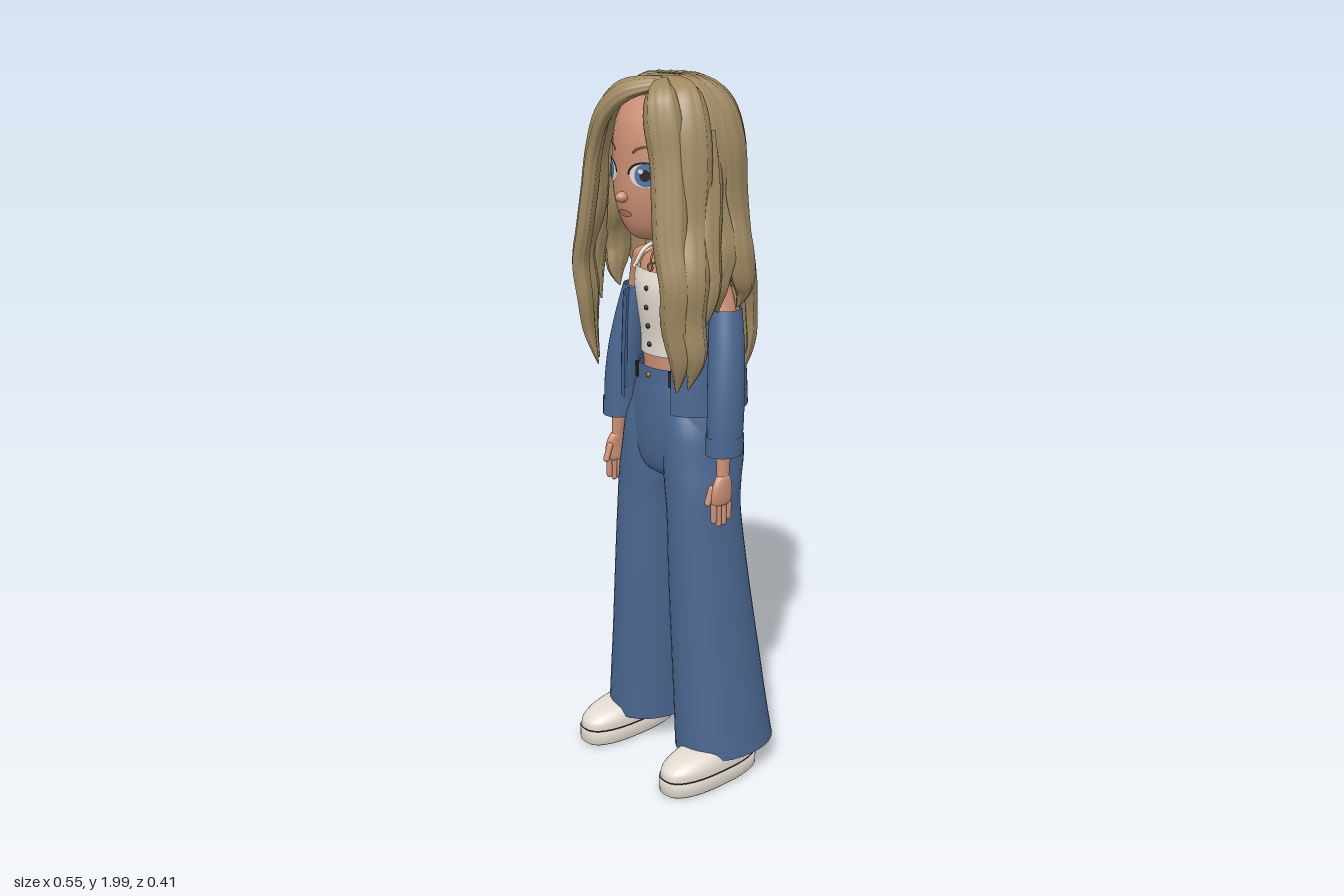
import * as THREE from 'three';

const mat = (name, color, side = THREE.FrontSide) => {
  const m = new THREE.MeshStandardMaterial({ color, side });
  m.name = name;
  return m;
};

// Smooth interpolation through rows of numbers, t from 0 to 1
function sample(rows, t) {
  const f = t * (rows.length - 1), i = Math.min(Math.floor(f), rows.length - 2), u = f - i;
  const at = k => rows[Math.max(0, Math.min(rows.length - 1, i + k))];
  return rows[0].map((_, n) => {
    const a = at(-1)[n], b = at(0)[n], c = at(1)[n], d = at(2)[n];
    return 0.5 * (2 * b + (c - a) * u + (2 * a - 5 * b + 4 * c - d) * u * u + (3 * b - a - 3 * c + d) * u ** 3);
  });
}

// Skin a list of point rings
function skin(rings, closed = true) {
  const n = rings[0].length, idx = [];
  for (let i = 0; i < rings.length - 1; i++)
    for (let j = 0; j < (closed ? n : n - 1); j++) {
      const k = (j + 1) % n, a = i * n + j, b = i * n + k, c = a + n, d = b + n;
      idx.push(a, b, d, a, d, c);
    }
  const g = new THREE.BufferGeometry();
  g.setAttribute('position', new THREE.Float32BufferAttribute(rings.flat(2), 3));
  g.setIndex(idx);
  g.computeVertexNormals();
  return g;
}

// Stack of rounded sections [y, cx, cz, rx, rz], bottom to top; e squares the outline, gap opens the front
function loft(sections, { n = 32, e = 2, gap = 0, steps = 6 } = {}) {
  const pw = v => Math.sign(v) * Math.abs(v) ** (2 / e), rings = [], rows = (sections.length - 1) * steps;
  for (let i = 0; i <= rows; i++) {
    const [y, cx, cz, rx, rz] = sample(sections, i / rows);
    rings.push(Array.from({ length: n }, (_, j) => {
      const a = gap ? gap + (j / (n - 1)) * (2 * Math.PI - 2 * gap) : (j / n) * 2 * Math.PI;
      return [cx + rx * pw(Math.sin(a)), y, cz + rz * pw(Math.cos(a))];
    }));
  }
  return skin(rings, !gap);
}

// Flattened, grooved lock of hair along [x, y, z, halfWidth]
function lock(path, thick = 0.022) {
  const rings = [], rows = 40, n = 24;
  for (let i = 0; i <= rows; i++) {
    const t = i / rows, [x, y, z, w] = sample(path, t);
    const p = new THREE.Vector3(x, y, z);
    const T = new THREE.Vector3(...sample(path, Math.min(1, t + 0.01))).sub(new THREE.Vector3(...sample(path, Math.max(0, t - 0.01)))).normalize();
    const N = p.clone().sub(new THREE.Vector3(0, Math.min(y, 1.8), 0));
    N.addScaledVector(T, -N.dot(T)).normalize();
    const B = N.clone().cross(T), h = Math.min(thick, w * 0.6);
    rings.push(Array.from({ length: n }, (_, j) => {
      const a = (j / n) * 2 * Math.PI, r = 1 + 0.09 * Math.cos(8 * a);
      return p.clone().addScaledVector(B, w * r * Math.cos(a)).addScaledVector(N, h * r * Math.sin(a)).toArray();
    }));
  }
  return skin(rings);
}

export function createModel() {
  const model = new THREE.Group();
  const DS = THREE.DoubleSide;
  const hair = mat('dark blonde hair', 0xa08a63, DS), skinM = mat('skin', 0xcd9176);
  const denim = mat('denim', 0x4a6790, DS), white = mat('off white', 0xe2dbd1, DS);
  const sole = mat('sole', 0xd3cbc0), dark = mat('dark', 0x2b2320), iris = mat('iris blue', 0x4c76ad);
  const brow = mat('brow brown', 0x6d5138), lip = mat('lip', 0xb57562), gold = mat('old gold', 0x8d6d3c);
  const add = (name, geo, m, x = 0, y = 0, z = 0) => {
    const mesh = new THREE.Mesh(geo, m);
    mesh.name = name;
    mesh.position.set(x, y, z);
    model.add(mesh);
    return mesh;
  };
  const tube = (pts, r) => new THREE.TubeGeometry(new THREE.CatmullRomCurve3(pts.map(p => new THREE.Vector3(...p))), 20, r, 6);

  // Head
  const headRows = [[1.56, 0, 0.07, 0, 0], [1.572, 0, 0.065, 0.05, 0.065], [1.61, 0, 0.05, 0.095, 0.11], [1.68, 0, 0.03, 0.13, 0.147],
    [1.76, 0, 0.02, 0.143, 0.157], [1.84, 0, 0.015, 0.145, 0.157], [1.9, 0, 0.01, 0.13, 0.14], [1.95, 0, 0.005, 0.085, 0.095], [1.968, 0, 0, 0, 0]];
  add('head', loft(headRows, { n: 40 }), skinM);
  add('nose', new THREE.SphereGeometry(0.016, 16, 12), skinM, 0, 1.685, 0.182).scale.set(1, 0.9, 1.2);

  // Painted face details that follow the head
  const faceZ = (x, y) => {
    let lo = 0, hi = 1;
    for (let i = 0; i < 24; i++) {
      const m = (lo + hi) / 2;
      if (sample(headRows, m)[0] < y) lo = m; else hi = m;
    }
    const [, , cz, rx, rz] = sample(headRows, lo);
    return cz + rz * Math.sqrt(Math.max(0, 1 - (x / rx) ** 2));
  };
  const patch = (name, m, cx, cy, rx, ry, off, inner = 0.001, start = 0, len = 2 * Math.PI) => {
    const g = new THREE.RingGeometry(inner, 1, 28, 4, start, len), p = g.attributes.position;
    for (let i = 0; i < p.count; i++) {
      const x = cx + p.getX(i) * rx, y = cy + p.getY(i) * ry;
      p.setXYZ(i, x, y, faceZ(x, y) + off);
    }
    g.computeVertexNormals();
    add(name, g, m);
  };
  for (const s of [-1, 1]) {
    patch('eyeWhite', white, s * 0.07, 1.745, 0.044, 0.03, 0.002);
    patch('iris', iris, s * 0.07, 1.746, 0.028, 0.029, 0.004);
    patch('pupil', dark, s * 0.07, 1.746, 0.013, 0.015, 0.006);
    patch('eyeGlint', white, s * 0.07 - 0.01, 1.757, 0.007, 0.007, 0.008);
    patch('upperLash', dark, s * 0.07, 1.745, 0.049, 0.035, 0.005, 0.87, 0, Math.PI);
    patch('eyebrow', brow, s * 0.072, 1.785, 0.045, 0.036, 0.003, 0.82, 0.15 * Math.PI, 0.7 * Math.PI);
  }
  patch('lips', lip, 0, 1.642, 0.026, 0.01, 0.004);

  // Hair: scalp, scalloped ring of wavy locks, then the parted front locks
  add('scalpHair', new THREE.SphereGeometry(1, 32, 24), hair, 0, 1.81, -0.012).scale.set(0.178, 0.172, 0.134);
  const profile = [[1.978, 0.12, 0.012], [1.965, 0.45, 0.03], [1.915, 0.8, 0.046], [1.82, 0.97, 0.055], [1.7, 1, 0.055], [1.57, 1.06, 0.05],
    [1.46, 1.17, 0.048], [1.36, 1.2, 0.044], [1.27, 1.18, 0.03], [1.19, 1.1, 0.003]];
  for (let i = -6; i < 6; i++) {
    const th = ((i + 0.5) / 12) * 2 * Math.PI + Math.PI, back = -Math.cos(th), side = Math.abs(Math.sin(th));
    const front = back < -0.3, shortTip = side > 0.9 ? 0.6 : 1 - 0.07 * (Math.abs(i) % 2);
    const rows = (front ? profile.slice(0, 3) : profile).map(([y, k, w], n) => {
      const yy = y > 1.7 ? y : 1.7 - (1.7 - y) * shortTip;
      const a = th + (n > 3 ? 0.07 * Math.sin(n * 1.7 + i * 2) : 0);
      return [Math.sin(a) * 0.185 * k, yy, 0.02 * (1 - k) + Math.cos(a) * (back > 0 ? 0.143 : 0.13) * k, w];
    });
    add(front ? 'crownLobe' : 'hairLock', lock(rows), hair);
  }
  // Underlayer locks fill the gaps at the back
  for (let i = -2; i <= 2; i++) {
    const th = Math.PI + i * 0.5;
    add('backUnderLock', lock(profile.slice(3).map(([y, k, w], n) =>
      [Math.sin(th) * 0.165 * k + 0.008 * Math.sin(n * 2 + i), y + 0.02 * (i % 2), Math.cos(th) * 0.128 * k, w * 0.9]), 0.016), hair);
  }
  const frontLocks = [
    [[0, 1.972, 0.09, 0.02], [0.07, 1.95, 0.145, 0.036], [0.118, 1.89, 0.158, 0.045], [0.15, 1.79, 0.155, 0.042], [0.165, 1.68, 0.162, 0.042],
      [0.178, 1.58, 0.17, 0.04], [0.2, 1.48, 0.17, 0.038], [0.19, 1.38, 0.165, 0.034], [0.192, 1.28, 0.15, 0.025], [0.168, 1.19, 0.14, 0.003]],
    [[0, 1.975, 0.05, 0.02], [0.09, 1.95, 0.085, 0.04], [0.155, 1.88, 0.1, 0.05], [0.183, 1.77, 0.105, 0.05], [0.19, 1.63, 0.115, 0.045],
      [0.222, 1.5, 0.135, 0.042], [0.212, 1.39, 0.13, 0.036], [0.222, 1.29, 0.12, 0.026], [0.19, 1.2, 0.12, 0.003]],
    [[0.165, 1.86, 0.06, 0.04], [0.19, 1.72, 0.065, 0.045], [0.215, 1.58, 0.08, 0.036], [0.235, 1.46, 0.085, 0.026], [0.215, 1.36, 0.09, 0.003]]];
  for (const s of [-1, 1])
    for (const path of frontLocks)
      add('frontLock', lock(path.map(([x, y, z, w]) => [s * x + 0.05 * Math.max(0, Math.min(1, (y - 1.85) / 0.12)), y, z, w])), hair);

  // Torso, neck and top
  add('torso', loft([[1.17, 0, 0, 0.1, 0.08], [1.25, 0, 0, 0.1, 0.084], [1.33, 0, 0, 0.1, 0.085], [1.42, 0, 0, 0.118, 0.088],
    [1.48, 0, -0.005, 0.128, 0.07], [1.515, 0, -0.005, 0.085, 0.052], [1.545, 0, 0, 0.042, 0.042], [1.63, 0, 0.01, 0.04, 0.04]]), skinM);
  add('cropTop', loft([[1.245, 0, 0, 0.104, 0.093], [1.3, 0, 0, 0.103, 0.094], [1.37, 0, 0, 0.112, 0.103], [1.43, 0, 0, 0.127, 0.104], [1.475, 0, 0, 0.132, 0.088]]), white);
  for (let i = 0; i < 4; i++)
    add('topButton', new THREE.SphereGeometry(0.007, 10, 8), dark, 0, 1.275 + i * 0.052, [0.094, 0.099, 0.104, 0.103][i]);
  for (const s of [-1, 1])
    add('strap', tube([[s * 0.1, 1.465, 0.065], [s * 0.09, 1.515, 0.035], [s * 0.085, 1.525, 0], [s * 0.09, 1.47, -0.06]], 0.006), white);
  add('necklace', tube([[-0.055, 1.545, 0], [-0.035, 1.525, 0.045], [0, 1.495, 0.085], [0.035, 1.525, 0.045], [0.055, 1.545, 0]], 0.003), gold);
  add('pendant', new THREE.TorusGeometry(0.009, 0.003, 6, 14), gold, 0, 1.486, 0.09);

  // Jacket worn off the shoulders
  add('jacketBody', loft([[1.1, 0, -0.028, 0.182, 0.142], [1.2, 0, -0.026, 0.18, 0.138], [1.3, 0, -0.022, 0.176, 0.13], [1.39, 0, -0.015, 0.172, 0.118]], { n: 44, e: 2.8, gap: 0.44 }), denim);

  // Trousers
  add('hips', loft([[0.885, 0, -0.01, 0.03, 0.05], [0.91, 0, -0.01, 0.12, 0.09], [0.96, 0, -0.015, 0.17, 0.112], [1.04, 0, -0.02, 0.173, 0.122],
    [1.12, 0, -0.012, 0.15, 0.112], [1.18, 0, -0.005, 0.118, 0.1], [1.205, 0, -0.003, 0.114, 0.096]]), denim);
  add('waistband', loft([[1.168, 0, -0.004, 0.12, 0.102], [1.212, 0, -0.002, 0.116, 0.098]], { steps: 1 }), denim);
  add('waistButton', new THREE.SphereGeometry(0.008, 10, 8), gold, 0, 1.19, 0.098);

  for (const s of [-1, 1]) {
    add('beltLoop', new THREE.BoxGeometry(0.01, 0.044, 0.008), dark, s * 0.07, 1.188, 0.08);
    add('trouserLeg', loft([[0.08, s * 0.156, -0.052, 0.119, 0.152], [0.2, s * 0.148, -0.043, 0.113, 0.143], [0.35, s * 0.137, -0.034, 0.107, 0.134],
      [0.5, s * 0.127, -0.024, 0.101, 0.125], [0.65, s * 0.118, -0.015, 0.095, 0.116], [0.8, s * 0.109, -0.009, 0.089, 0.109],
      [0.88, s * 0.1, -0.013, 0.092, 0.113], [0.96, s * 0.09, -0.024, 0.088, 0.123], [1.04, s * 0.08, -0.024, 0.085, 0.118], [1.11, s * 0.07, -0.01, 0.06, 0.09]], { e: 2.2 }), denim);
    add('ankle', loft([[0.06, s * 0.185, -0.06, 0.04, 0.045], [0.3, s * 0.16, -0.05, 0.045, 0.05]]), skinM);

    // Shoe
    const cx = s * 0.187;
    add('shoeSole', loft([[0, cx, 0.037, 0, 0], [0, cx, 0.037, 0.066, 0.16], [0.006, cx, 0.037, 0.071, 0.167], [0.048, cx, 0.037, 0.072, 0.168], [0.052, cx, 0.037, 0, 0]], { e: 2.5, steps: 1 }), sole);
    add('shoeSeam', loft([[0.047, cx, 0.037, 0.071, 0.166], [0.053, cx, 0.037, 0.071, 0.166]], { e: 2.5, steps: 1 }), dark);
    add('shoeUpper', loft([[0.05, cx, 0.036, 0.07, 0.165], [0.075, cx, 0.034, 0.069, 0.16], [0.098, cx, 0.016, 0.06, 0.135], [0.115, cx, -0.025, 0.05, 0.09], [0.14, cx, -0.055, 0.045, 0.055]], { e: 2.4 }), white);

    // Arm, sleeve and hand
    add('upperArm', loft([[1.34, s * 0.185, -0.015, 0.034, 0.036], [1.41, s * 0.165, -0.015, 0.035, 0.037], [1.46, s * 0.148, -0.01, 0.036, 0.038],
      [1.5, s * 0.13, -0.008, 0.034, 0.036], [1.52, s * 0.115, -0.006, 0, 0]]), skinM);
    add('sleeve', loft([[1.01, s * 0.223, 0.02, 0.043, 0.05], [1.1, s * 0.222, 0.016, 0.045, 0.053], [1.2, s * 0.214, 0.008, 0.046, 0.053],
      [1.3, s * 0.2, -0.005, 0.046, 0.05], [1.395, s * 0.18, -0.017, 0.044, 0.045]]), denim);
    add('cuff', loft([[1.008, s * 0.223, 0.02, 0.047, 0.054], [1.06, s * 0.223, 0.018, 0.047, 0.055]], { steps: 1 }), denim);
    add('forearm', loft([[0.93, s * 0.23, 0.03, 0.014, 0.019], [0.97, s * 0.227, 0.027, 0.015, 0.02], [1.1, s * 0.222, 0.018, 0.024, 0.027]]), skinM);
    add('palm', loft([[0.865, s * 0.23, 0.035, 0, 0], [0.87, s * 0.23, 0.035, 0.012, 0.032], [0.91, s * 0.232, 0.035, 0.015, 0.034], [0.945, s * 0.23, 0.03, 0.014, 0.022], [0.955, s * 0.23, 0.03, 0, 0]]), skinM);
    for (let i = 0; i < 4; i++)
      add('finger', new THREE.CapsuleGeometry(0.0085, 0.045 + (i === 1 || i === 2 ? 0.012 : 0), 4, 8), skinM, s * 0.229, 0.846 - (i === 1 || i === 2 ? 0.006 : 0), 0.061 - i * 0.0175);
    const thumb = add('thumb', new THREE.CapsuleGeometry(0.009, 0.04, 4, 8), skinM, s * 0.222, 0.896, 0.07);
    thumb.rotation.x = -0.35;
  }
  return model;
}
